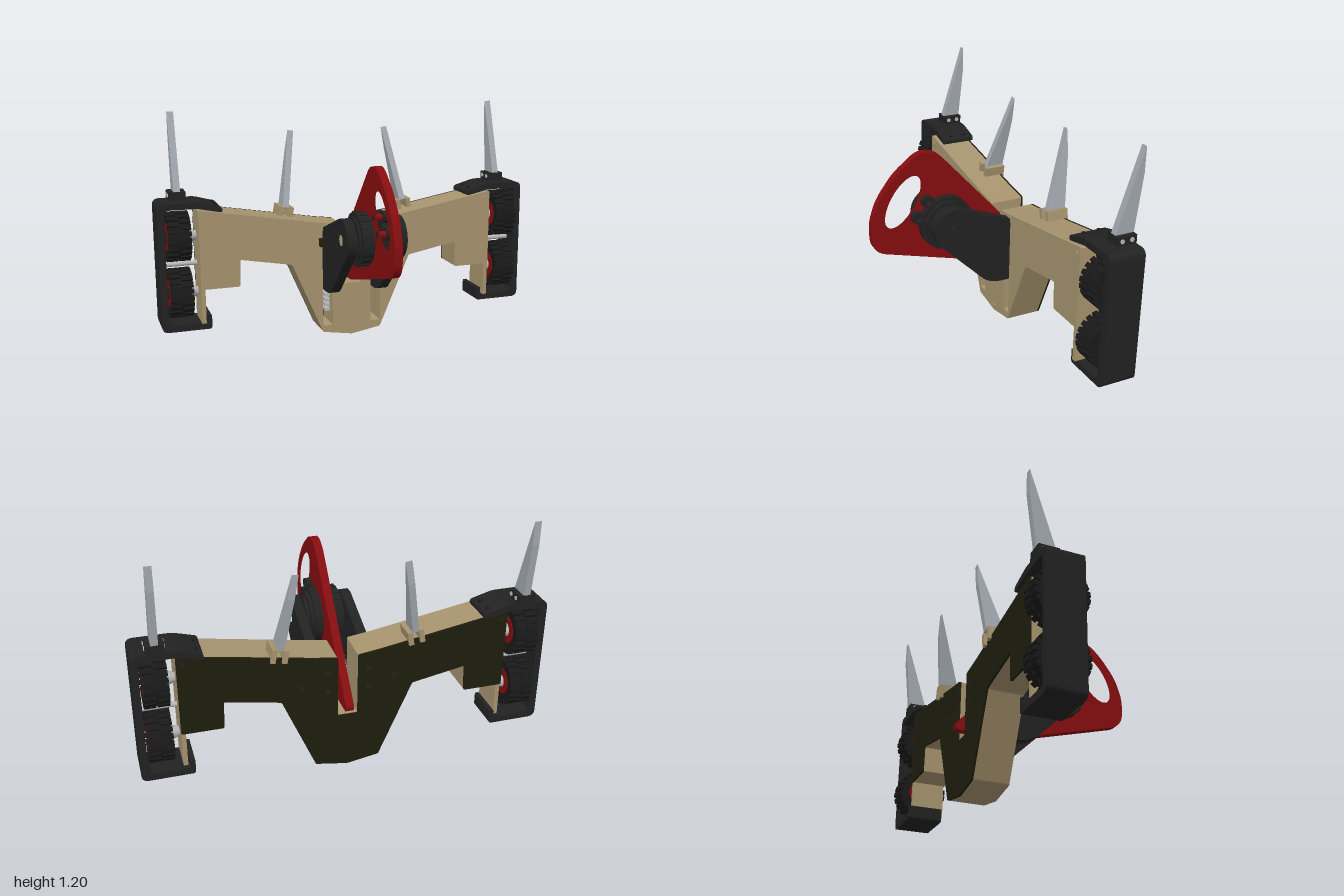
import * as THREE from 'three';

const mat = (name, color) => {
  const m = new THREE.MeshStandardMaterial({ color });
  m.name = name;
  return m;
};

// Polygon with rounded corners; each point is [u, v, optional radius]
function roundedPoly(points, radius = 0) {
  const shape = new THREE.Shape();
  const n = points.length;
  points.forEach((p, i) => {
    const c = new THREE.Vector2(p[0], p[1]);
    const a = new THREE.Vector2(...points[(i + n - 1) % n].slice(0, 2)).sub(c);
    const b = new THREE.Vector2(...points[(i + 1) % n].slice(0, 2)).sub(c);
    const r = Math.min(p[2] ?? radius, a.length() * 0.48, b.length() * 0.48);
    const s = c.clone().add(a.setLength(r));
    const e = c.clone().add(b.setLength(r));
    if (i) shape.lineTo(s.x, s.y); else shape.moveTo(s.x, s.y);
    if (r > 0) shape.quadraticCurveTo(c.x, c.y, e.x, e.y);
  });
  shape.closePath();
  return shape;
}

const circleHole = (u, v, r) => new THREE.Path().absarc(u, v, r, 0, Math.PI * 2, true);

function ring(u, v, r, hole) {
  const s = new THREE.Shape().absarc(u, v, r, 0, Math.PI * 2, false);
  s.holes.push(circleHole(u, v, hole));
  return s;
}

// Shape drawn in x/y, filling z0..z1
function extrudeZ(shape, z0, z1) {
  return new THREE.ExtrudeGeometry(shape, { depth: z1 - z0, bevelEnabled: false, curveSegments: 20 }).translate(0, 0, z0);
}

// Shape drawn in z/y, filling x0..x1
function extrudeX(shape, x0, x1) {
  return new THREE.ExtrudeGeometry(shape, { depth: x1 - x0, bevelEnabled: false, curveSegments: 24 })
    .rotateY(-Math.PI / 2).translate(x1, 0, 0);
}

const box = (x0, x1, y0, y1, z0, z1) =>
  new THREE.BoxGeometry(x1 - x0, y1 - y0, z1 - z0).translate((x0 + x1) / 2, (y0 + y1) / 2, (z0 + z1) / 2);

export function createModel() {
  const tan = mat('tan body', 0xa8956f);
  const olive = mat('dark olive', 0x1f1e0e);
  const black = mat('black plastic', 0x222222);
  const rubber = mat('black rubber', 0x191919);
  const red = mat('deep red', 0x860d0f);
  const steel = mat('blade steel', 0xa2a9af);
  const silver = mat('silver', 0xb4b6b8);

  const model = new THREE.Group();
  const add = (name, geometry, material, parent = model) => {
    const mesh = new THREE.Mesh(geometry, material);
    mesh.name = name;
    parent.add(mesh);
    return mesh;
  };

  // Winged chassis with a centre slot for the disc
  const half = [[0.16, 0.035], [0.325, 0.42], [0.595, 0.47], [0.6, 0.33], [0.8, 0.33], [0.8, 0.74], [0.16, 0.63], [0.05, 0.615], [0.05, 0.295]];
  const outline = [[0, 0.008], ...half, ...half.map(([x, y]) => [-x, y]).reverse()];
  const body = roundedPoly(outline, 0.008);
  for (const s of [-1, 1]) {
    body.holes.push(roundedPoly([[s * 0.107, 0.07], [s * 0.16, 0.07], [s * 0.16, 0.59], [s * 0.107, 0.59]]));
  }
  add('chassis', extrudeZ(body, -0.4, -0.225), tan);
  add('backPlate', extrudeZ(roundedPoly(outline, 0.008), -0.41, -0.4), olive);

  // Screws on the front face and bolts on the back plate
  const screw = (name, x, y, z, r, m) =>
    add(name, new THREE.CylinderGeometry(r, r, 0.008, 14).rotateX(Math.PI / 2).translate(x, y, z), m);
  screw('frontScrew', 0, 0.035, -0.224, 0.012, tan);
  for (const s of [-1, 1]) {
    screw('frontScrew', s * 0.078, 0.33, -0.224, 0.014, tan);
    screw('frontScrew', s * 0.772, 0.7, -0.224, 0.014, tan);
    for (const y of [0.44, 0.54]) screw('backBolt', s * 0.1, y, -0.409, 0.016, black);
    screw('backBolt', s * 0.23, 0.48, -0.409, 0.012, black);
    screw('backBolt', s * 0.77, 0.7, -0.409, 0.01, black);
  }

  // Small connector pins seen in one arm slot
  for (let i = 0; i < 4; i++) {
    add('connectorPin', box(-0.135, -0.107, 0.135 + i * 0.027, 0.15 + i * 0.027, -0.4, -0.27), silver);
  }
  add('armStop', box(-0.18, -0.155, 0.51, 0.55, -0.24, -0.19), olive);

  // Spinning disc, pointed at the rear with an oval window
  const disc = roundedPoly([
    [0.11, 0.97, 0.05], [0.2, 0.985, 0.06], [0.33, 0.885, 0.05], [0.42, 0.765, 0.05], [0.46, 0.65, 0.05], [0.455, 0.5, 0.07],
    [-0.19, 0.32, 0.05], [-0.44, 0.33, 0.04], [-0.445, 0.36, 0.02],
  ], 0.04);
  disc.holes.push(new THREE.Path().absellipse(0.293, 0.742, 0.145, 0.066, 0, Math.PI * 2, true, 2.13));
  const axis = [0.075, 0.605];
  const ears = [[0.17, 0.73], [0.225, 0.655]];
  disc.holes.push(circleHole(...axis, 0.028));
  ears.forEach(([z, y]) => disc.holes.push(circleHole(z, y, 0.018)));
  add('spinningDisc', extrudeX(disc, -0.02, 0.02), red);

  // Hollow drum motor around the disc axis, with stepped rims and mounting ears
  const drum = [[-0.095, -0.085, 0.11], [-0.085, -0.03, 0.135], [-0.03, -0.02, 0.125], [0.02, 0.06, 0.138], [0.06, 0.078, 0.12], [0.078, 0.095, 0.1]];
  drum.forEach(([x0, x1, r]) => add('motorDrum', extrudeX(ring(...axis, r, 0.028), x0, x1), black));
  ears.forEach(([z, y]) => add('motorEar', extrudeX(ring(z, y, 0.031, 0.018), 0.02, 0.055), black));
  for (let i = 0; i < 20; i++) {
    const a = (i / 20) * Math.PI * 2;
    add('drumRib', new THREE.BoxGeometry(0.05, 0.012, 0.014).rotateX(a)
      .translate(-0.057, axis[1] + 0.134 * Math.cos(a), axis[0] + 0.134 * Math.sin(a)), black);
  }

  // Support arms
  const arm = new THREE.Shape();
  arm.moveTo(-0.25, 0.6);
  arm.lineTo(-0.2, 0.617);
  arm.absarc(...axis, 0.107, 1.87, -0.79, true);
  arm.lineTo(-0.075, 0.31);
  arm.quadraticCurveTo(-0.115, 0.272, -0.18, 0.27);
  arm.lineTo(-0.25, 0.27);
  arm.closePath();
  arm.holes.push(circleHole(...axis, 0.028));

  // Tapered tine, drawn with its foot at height zero
  const tine = roundedPoly([[-0.33, 0], [-0.455, 0.39], [-0.455, 0.27], [-0.425, 0]]);

  // Wheel with blocky tread, turning about x
  function wheel() {
    const g = new THREE.Group();
    g.name = 'wheel';
    add('tyre', new THREE.CylinderGeometry(0.117, 0.117, 0.1, 40).rotateZ(Math.PI / 2), rubber, g);
    add('hub', new THREE.CylinderGeometry(0.072, 0.072, 0.108, 28).rotateZ(Math.PI / 2), red, g);
    add('hubCap', new THREE.CylinderGeometry(0.035, 0.035, 0.114, 20).rotateZ(Math.PI / 2), black, g);
    for (let i = 0; i < 22; i++) {
      for (const row of [-1, 1]) {
        const a = ((i + (row > 0 ? 0.5 : 0)) / 22) * Math.PI * 2;
        add('treadBlock', new THREE.BoxGeometry(0.054, 0.022, 0.024)
          .translate(row * 0.031, 0.116, 0).rotateX(a), rubber, g);
      }
    }
    return g;
  }

  for (const s of [-1, 1]) {
    const span = (x0, x1) => (s > 0 ? [x0, x1] : [-x1, -x0]);
    add('supportArm', extrudeX(arm, ...span(0.107, 0.155)), black);

    // Axle wall running down to the guard
    add('axleWall', box(...span(0.778, 0.8), 0.15, 0.72, -0.4, -0.23), tan);

    // Wrap-around wheel guard
    const guard = roundedPoly([
      [0.675, 0.718, 0.01], [0.675, 0.745, 0.015], [0.79, 0.777, 0.02], [1, 0.777, 0.035], [1, 0.115, 0.035],
      [0.747, 0.115, 0.015], [0.747, 0.188, 0.006], [0.77, 0.188, 0.006], [0.77, 0.149, 0.006],
      [0.965, 0.149, 0.025], [0.965, 0.745, 0.025], [0.8, 0.745, 0.006],
    ].map(([x, y, r]) => [s * x, y, r]));
    add('wheelGuard', extrudeZ(guard, -0.425, -0.245), black);
    for (const z of [-0.3, -0.38]) {
      add('guardScrew', new THREE.CylinderGeometry(0.011, 0.011, 0.008, 14).translate(s * 0.705, 0.754, z), rubber);
    }

    // Wheels, axles and tie rod
    for (const y of [0.595, 0.3]) {
      const w = wheel();
      w.position.set(s * 0.896, y, -0.328);
      model.add(w);
      add('axle', new THREE.CylinderGeometry(0.022, 0.038, 0.05, 20)
        .rotateZ(s * Math.PI / 2).translate(s * 0.822, y, -0.328), silver);
    }
    add('tieRod', new THREE.CylinderGeometry(0.012, 0.012, 0.18, 14)
      .rotateZ(Math.PI / 2).translate(s * 0.885, 0.45, -0.328), silver);

    // Upright outer tine in its clamp
    add('outerTine', extrudeX(tine, s * 0.885 - 0.017, s * 0.885 + 0.017).translate(0, 0.82, 0), steel);
    add('outerClamp', box(...span(0.842, 0.928), 0.765, 0.82, -0.425, -0.328), black);
    for (const z of [-0.35, -0.4]) {
      add('clampScrew', new THREE.CylinderGeometry(0.011, 0.011, 0.094, 14)
        .rotateZ(Math.PI / 2).translate(s * 0.885, 0.8, z), silver);
    }

    // Inner tine leaning towards the middle
    const inner = new THREE.Group();
    inner.name = 'innerTineAssembly';
    inner.position.set(s * 0.328, 0.69, 0);
    inner.rotation.z = s * 0.165;
    add('innerTine', extrudeX(tine, -0.016, 0.016).translate(0, 0.015, 0), steel, inner);
    for (const side of [-1, 1]) {
      add('innerClamp', box(...(side > 0 ? [0.016, 0.04] : [-0.04, -0.016]), -0.05, 0.018, -0.425, -0.315), tan, inner);
    }
    model.add(inner);
  }

  return model;
}
